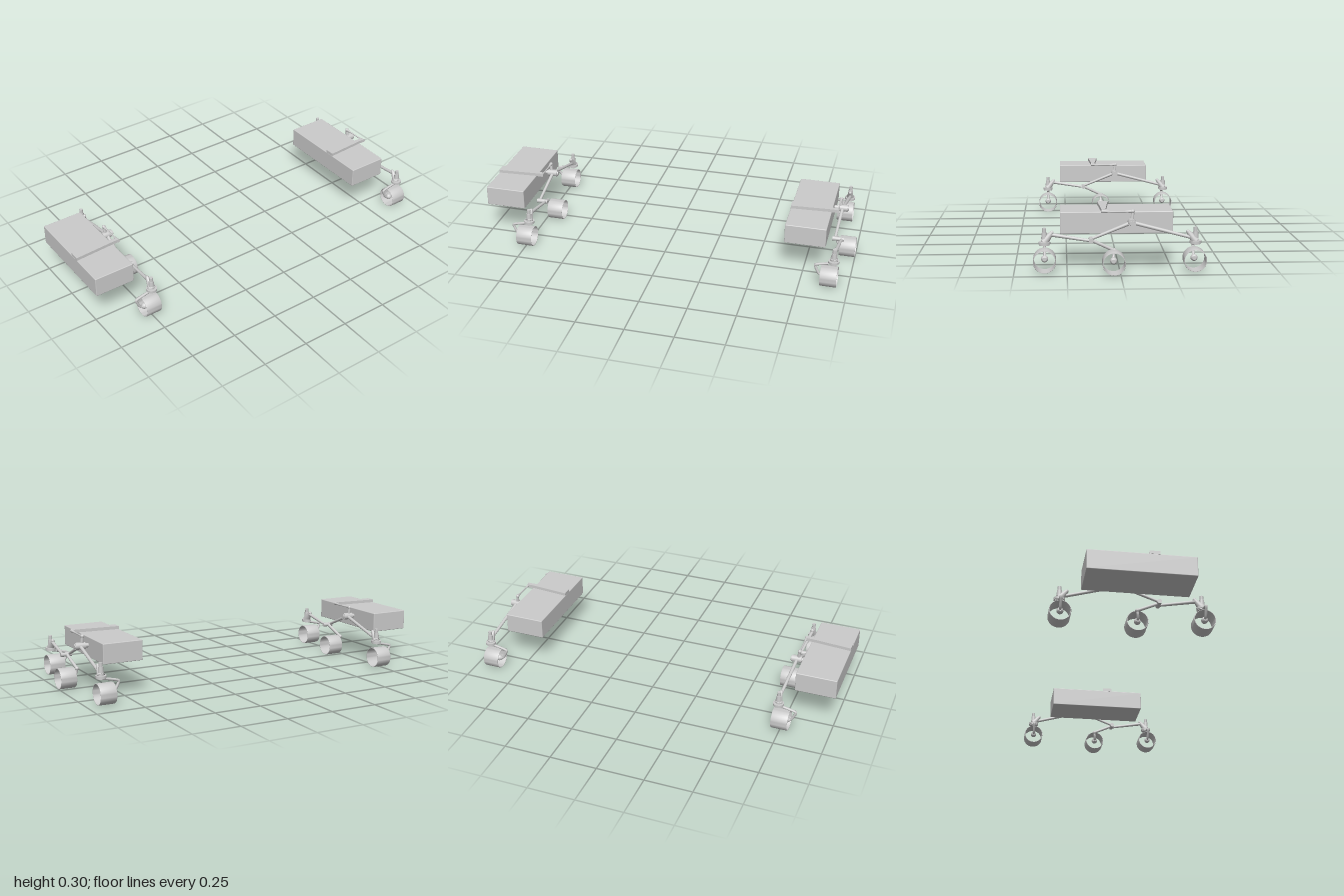
import * as THREE from 'three';
import { toCreasedNormals } from 'three/addons/utils/BufferGeometryUtils.js';
import { RoundedBoxGeometry } from 'three/addons/geometries/RoundedBoxGeometry.js';

const material = new THREE.MeshStandardMaterial({ color: 0xcccccc });
const V = (x, y, z) => new THREE.Vector3(x, y, z);

function add(parent, name, geometry, x = 0, y = 0, z = 0) {
  const mesh = new THREE.Mesh(geometry, material);
  mesh.name = name;
  mesh.position.set(x, y, z);
  parent.add(mesh);
  return mesh;
}

// Round bar from a to b, tapering from r0 to r1
function bar(parent, name, a, b, r0, r1 = r0, sides = 16) {
  const dir = b.clone().sub(a);
  const mesh = add(parent, name, new THREE.CylinderGeometry(r1, r0, dir.length(), sides));
  mesh.position.copy(a).addScaledVector(dir, 0.5);
  mesh.quaternion.setFromUnitVectors(V(0, 1, 0), dir.normalize());
  return mesh;
}

// Thin open wheel rim, axis along x
function wheelGeometry(width) {
  const h = width / 2, R = 0.0545;
  const profile = [[R - 0.003, -h], [R - 0.001, -h], [R, -h + 0.003], [R, h - 0.003],
    [R - 0.001, h], [R - 0.003, h], [R - 0.003, -h]].map(p => new THREE.Vector2(...p));
  const g = new THREE.LatheGeometry(profile, 40).rotateZ(-Math.PI / 2);
  return toCreasedNormals(g, 0.5);
}

// Wheel with its hub and curved strut
function wheel(parent, name, x, z, strutPoints) {
  const group = new THREE.Group();
  group.name = name;
  add(group, 'rim', wheelGeometry(0.086), x, 0.0555, z);
  add(group, 'hub', new THREE.SphereGeometry(0.017, 20, 14), x - 0.028, 0.057, z);
  const path = new THREE.CatmullRomCurve3([...strutPoints, V(x - 0.03, 0.057, z)], false, 'catmullrom', 0.3);
  add(group, 'strut', new THREE.TubeGeometry(path, 24, 0.007, 10));
  bar(group, 'axle', V(x - 0.045, 0.057, z), V(x - 0.008, 0.057, z), 0.009);
  parent.add(group);
}

// Steered corner: post, flange, leaning horn that meets the arm, and wheel
function corner(parent, name, side) {
  const group = new THREE.Group();
  group.name = name;
  const x = 0.27, z = 0.356 * side;
  add(group, 'steeringPost', new THREE.CylinderGeometry(0.0095, 0.0095, 0.07, 18), x, 0.18, z);
  add(group, 'postCollar', new THREE.CylinderGeometry(0.0125, 0.0155, 0.045, 18), x, 0.171, z);
  add(group, 'flange', new THREE.CylinderGeometry(0.028, 0.028, 0.012, 24), x, 0.144, z);
  add(group, 'lowerPlate', new THREE.CylinderGeometry(0.024, 0.024, 0.005, 24), x, 0.1355, z);
  bar(group, 'horn', V(x, 0.149, z), V(x, 0.193, side * 0.32), 0.021, 0.009, 18);
  add(group, 'hornTip', new THREE.SphereGeometry(0.009, 14, 10), x, 0.193, side * 0.32);
  wheel(group, 'wheel', 0.251, z,
    [V(0.268, 0.135, z), V(0.235, 0.128, z), V(0.178, 0.114, z), V(0.182, 0.095, z), V(0.2, 0.062, z)]);
  parent.add(group);
}

// Flat tapered bar lying across the deck
function crossBar() {
  const s = new THREE.Shape([[0, -0.1], [0.215, -0.087], [0.245, -0.087], [0.245, -0.066], [0.215, -0.066], [0, -0.047]]
    .map(p => new THREE.Vector2(...p)));
  return new THREE.ExtrudeGeometry(s, { depth: 0.017, bevelEnabled: false }).rotateX(-Math.PI / 2);
}

function createHalf(name) {
  const g = new THREE.Group();
  g.name = name;

  // Body box and the bar on its deck
  add(g, 'body', new RoundedBoxGeometry(0.215, 0.106, 0.538, 2, 0.004), 0.1075, 0.227, 0.013);
  add(g, 'crossBar', crossBar(), 0, 0.279, 0);

  // Link from the cross bar back to the rocker pivot
  const lx = 0.247;
  bar(g, 'linkRod', V(lx, 0.286, 0.08), V(lx, 0.286, -0.05), 0.0035);
  bar(g, 'linkFrontEnd', V(lx, 0.288, 0.088), V(lx, 0.286, 0.045), 0.009, 0.004);
  bar(g, 'linkRearEnd', V(lx, 0.286, -0.025), V(lx, 0.287, -0.062), 0.004, 0.009);
  add(g, 'linkElbow', new THREE.SphereGeometry(0.01, 16, 12), lx, 0.287, -0.061);
  bar(g, 'pivotArm', V(lx, 0.287, -0.062), V(0.25, 0.237, -0.056), 0.007, 0.009);

  // Rocker: hub, forward arm and rear arm
  const pivot = V(0.258, 0.236, -0.056), knee = V(0.247, 0.155, 0.138);
  bar(g, 'rockerShaft', V(0.2, 0.236, -0.056), V(0.285, 0.236, -0.056), 0.011);
  bar(g, 'rockerHub', V(0.232, 0.236, -0.056), V(0.286, 0.236, -0.056), 0.0185, 0.0185, 24);
  bar(g, 'rockerHubCap', V(0.286, 0.236, -0.056), V(0.291, 0.236, -0.056), 0.013, 0.012, 24);
  bar(g, 'rockerFrontArm', pivot, knee, 0.009, 0.007);
  bar(g, 'rockerRearArm', pivot, V(0.273, 0.164, -0.338), 0.009, 0.008);

  // Bogie: pivot pin, forward arm and arm to the middle wheel
  bar(g, 'bogiePivot', V(0.234, 0.154, 0.137), V(0.294, 0.154, 0.137), 0.012, 0.011, 20);
  bar(g, 'bogieFrontArm', V(0.282, 0.154, 0.137), V(0.27, 0.183, 0.325), 0.007, 0.009);
  bar(g, 'bogieRearArm', V(0.26, 0.154, 0.137), V(0.248, 0.1, 0.026), 0.008, 0.008);
  add(g, 'bogieElbow', new THREE.SphereGeometry(0.0105, 16, 12), 0.248, 0.1, 0.026);

  // Wheels
  wheel(g, 'middleWheel', 0.309, 0.031, [V(0.248, 0.1, 0.026), V(0.25, 0.08, 0.029), V(0.26, 0.062, 0.031)]);
  corner(g, 'frontCorner', 1);
  corner(g, 'rearCorner', -1);
  return g;
}

export function createModel() {
  const model = new THREE.Group();
  model.name = 'roverHalves';
  // Two identical halves side by side
  [['rightHalf', -1], ['leftHalf', 0.648]].forEach(([name, x]) => {
    const half = createHalf(name);
    half.position.x = x;
    model.add(half);
  });
  return model;
}
